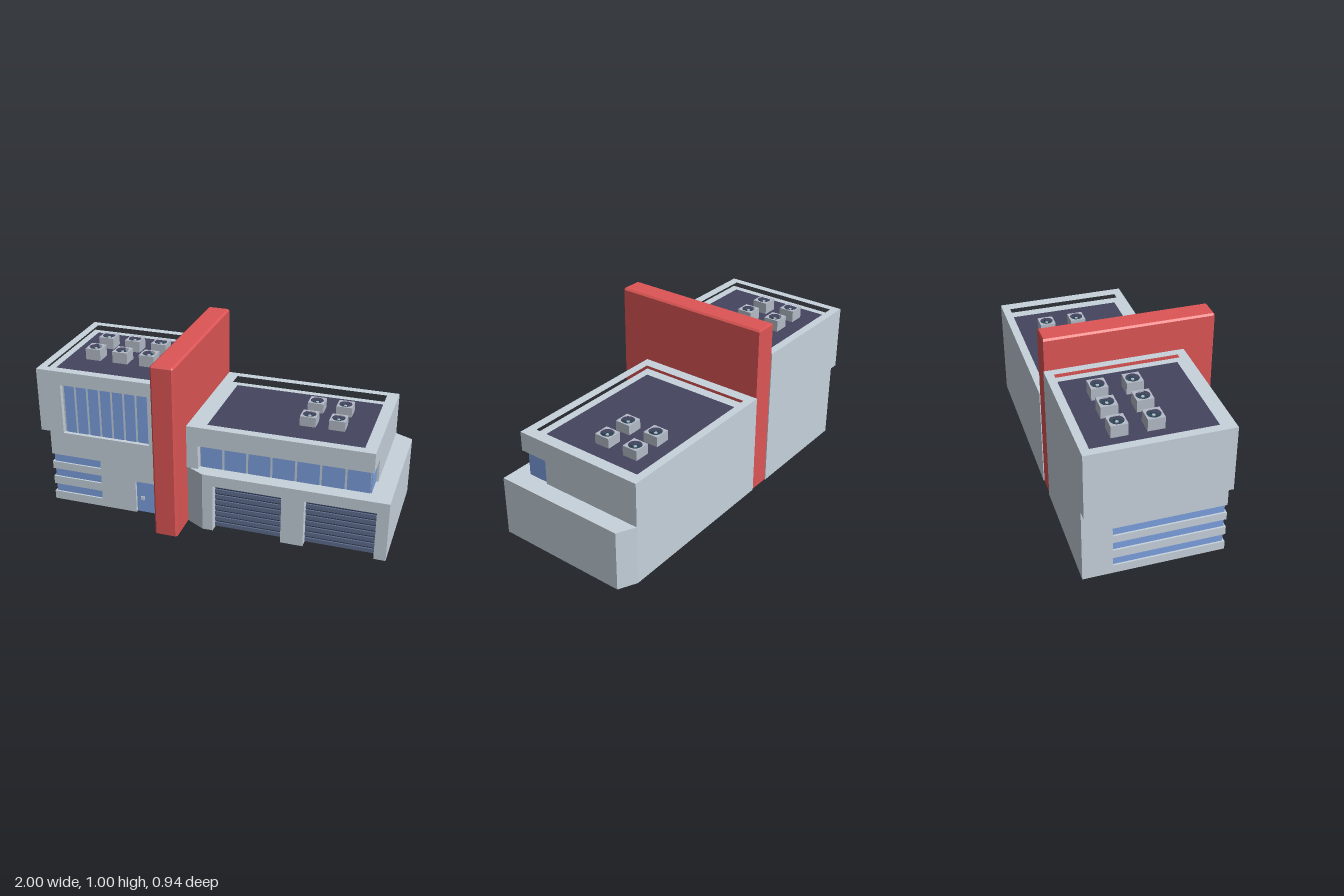
import * as THREE from 'three';

const mat = (color) => new THREE.MeshStandardMaterial({ color, flatShading: true });

export function createModel() {
  const model = new THREE.Group();
  const wall = mat(0xc6d2dc), red = mat(0xdd5555), glass = mat(0x7da0e0), deck = mat(0x44445f);
  const slat = mat(0x5f6f8f), gap = mat(0x2f3850), unit = mat(0xb4bcc8), fan = mat(0x2f4659);

  function add(name, geometry, material, parent = model) {
    const mesh = new THREE.Mesh(geometry, material);
    mesh.name = name;
    parent.add(mesh);
    return mesh;
  }
  // Box given by its limits
  function box(name, material, x0, x1, y0, y1, z0, z1, parent) {
    const g = new THREE.BoxGeometry(x1 - x0, y1 - y0, z1 - z0);
    g.translate((x0 + x1) / 2, (y0 + y1) / 2, (z0 + z1) / 2);
    return add(name, g, material, parent);
  }
  // Floor plan of [x, z] points raised from y0 to y1
  const toPoints = (pts) => pts.map(([x, z]) => new THREE.Vector2(x, -z));
  function planGeometry(pts, y0, y1, hole, steps = 1) {
    const shape = new THREE.Shape(toPoints(pts));
    if (hole) shape.holes.push(new THREE.Path(toPoints(hole)));
    const g = new THREE.ExtrudeGeometry(shape, { depth: y1 - y0, steps, bevelEnabled: false });
    return g.rotateX(-Math.PI / 2).translate(0, y0, 0);
  }
  const plan = (name, pts, y0, y1, hole) => add(name, planGeometry(pts, y0, y1, hole), wall);
  const rect = (x0, x1, z0, z1) => [[x0, z0], [x1, z0], [x1, z1], [x0, z1]];

  // Red dividing slab with chamfered front and top edges
  const slab = planGeometry([[-0.255, -0.465], [-0.125, -0.465], [-0.125, 0.457],
    [-0.135, 0.467], [-0.245, 0.467], [-0.255, 0.457]], 0, 1, null, 2);
  const p = slab.attributes.position;
  for (let i = 0; i < p.count; i++) {
    if (p.getY(i) > 0.9) {
      p.setX(i, THREE.MathUtils.clamp(p.getX(i), -0.245, -0.135));
      p.setZ(i, THREE.MathUtils.clamp(p.getZ(i), -0.46, 0.457));
    } else if (p.getY(i) > 0.4) p.setY(i, 0.99);
  }
  slab.computeVertexNormals();
  add('dividingSlab', slab, red);

  // Left wing, ground floor: layers with the corner strips and the door cut out
  const levels = [0, 0.05, 0.10, 0.15, 0.20, 0.245, 0.295, 0.44];
  for (let i = 0; i < levels.length - 1; i++) {
    const y0 = levels[i], y1 = levels[i + 1];
    const strip = i % 2 === 1;
    const pts = [[-0.945, -0.47], [-0.255, -0.47], [-0.255, 0.295]];
    if (y1 <= 0.2) pts.push([-0.3, 0.295], [-0.3, 0.275], [-0.435, 0.275], [-0.435, 0.295]);
    if (strip) pts.push([-0.645, 0.295], [-0.645, 0.25], [-0.9, 0.25], [-0.9, -0.31], [-0.945, -0.31]);
    else pts.push([-0.945, 0.295]);
    plan('leftGroundWall', pts, y0, y1);
    if (strip) box('cornerWindow', glass, -0.935, -0.645, y0, y1, -0.31, 0.285);
  }
  box('door', glass, -0.435, -0.3, 0, 0.2, 0.27, 0.279);
  box('doorHandle', wall, -0.408, -0.388, 0.08, 0.1, 0.279, 0.288);

  // Left wing, upper floor with a front window bay and parapet
  plan('leftUpperWall', [[-1, -0.47], [-0.255, -0.47], [-0.255, 0.295], [-0.345, 0.295],
    [-0.345, 0.27], [-0.86, 0.27], [-0.86, 0.295], [-1, 0.295]], 0.44, 0.735);
  plan('leftLintel', rect(-1, -0.255, -0.47, 0.295), 0.735, 0.765);
  plan('leftParapet', rect(-1, -0.255, -0.47, 0.295), 0.765, 0.815, rect(-0.955, -0.3, -0.425, 0.245));
  box('leftRoofDeck', deck, -0.955, -0.3, 0.76, 0.768, -0.425, 0.245);

  // Row of panes with thin mullions showing between them
  function panes(name, x0, x1, y0, y1, z, count) {
    const step = (x1 - x0) / count;
    for (let i = 0; i < count; i++) {
      box(name, glass, x0 + i * step + 0.006, x0 + (i + 1) * step - 0.006, y0, y1, z - 0.01, z + 0.003);
    }
  }
  panes('leftWindowPane', -0.855, -0.35, 0.44, 0.725, 0.27, 7);

  // Right wing, ground floor with two garage openings
  const garages = [[0.55, 0.935], [0.04, 0.425]];
  const front = 0.345, recess = 0.29;
  const base = [[-0.125, -0.47], [0.9, -0.47], [1, -0.42], [1, front]];
  const corner = [[-0.02, front], [-0.125, 0.285]];
  const notches = garages.flatMap(([a, b]) => [[b, front], [b, recess], [a, recess], [a, front]]);
  plan('rightGroundWall', [...base, ...notches, ...corner], 0, 0.28);
  plan('rightGroundTop', [...base, ...corner], 0.28, 0.345);
  for (const [a, b] of garages) {
    const door = new THREE.Group();
    door.name = 'garageDoor';
    model.add(door);
    box('doorBacking', gap, a, b, 0, 0.28, recess - 0.01, recess + 0.003, door);
    for (let i = 0; i < 8; i++) {
      box('doorSlat', slat, a, b, i * 0.035 + 0.006, i * 0.035 + 0.03, recess, recess + 0.012, door);
    }
  }

  // Right wing, upper floor with the window notch round the corner
  plan('rightUpperWall', [[-0.125, -0.47], [0.9, -0.47], [0.9, 0.13], [0.885, 0.13],
    [0.885, 0.26], [-0.06, 0.26], [-0.06, 0.295], [-0.125, 0.295]], 0.345, 0.485);
  plan('rightLintel', rect(-0.125, 0.9, -0.47, 0.295), 0.485, 0.535);
  plan('rightParapet', rect(-0.125, 0.9, -0.47, 0.295), 0.535, 0.597, rect(-0.06, 0.835, -0.425, 0.245));
  box('rightRoofDeck', deck, -0.06, 0.835, 0.53, 0.538, -0.425, 0.245);
  panes('rightWindowPane', -0.06, 0.885, 0.345, 0.485, 0.26, 7);
  box('sideWindowPane', glass, 0.87, 0.888, 0.345, 0.485, 0.13, 0.26);

  // Rooftop fan units: open square housing, dark well, blades and hub
  const ring = Array.from({ length: 16 }, (_, i) => {
    const a = i / 16 * Math.PI * 2;
    return [0.037 * Math.cos(a), 0.037 * Math.sin(a)];
  });
  function fanUnit(x, y, z, height) {
    const g = new THREE.Group();
    g.name = 'roofFanUnit';
    g.position.set(x, y, z);
    model.add(g);
    add('housing', planGeometry(rect(-0.045, 0.045, -0.045, 0.045), 0, height, ring), unit, g);
    const well = new THREE.CylinderGeometry(0.038, 0.038, 0.01, 16);
    add('fanWell', well, fan, g).position.y = height - 0.025;
    for (let i = 0; i < 4; i++) {
      const blade = box('fanBlade', fan, 0.008, 0.033, -0.002, 0.002, -0.007, 0.007, g);
      blade.position.y = height - 0.014;
      blade.rotation.y = i * Math.PI / 2;
    }
    add('fanHub', new THREE.CylinderGeometry(0.009, 0.009, 0.012, 8), unit, g).position.y = height - 0.014;
  }
  for (const z of [-0.245, -0.06]) {
    for (const x of [-0.8, -0.635, -0.472]) fanUnit(x, 0.768, z, 0.067);
    for (const x of [0.47, 0.633]) fanUnit(x, 0.538, z, 0.057);
  }
  return model;
}
